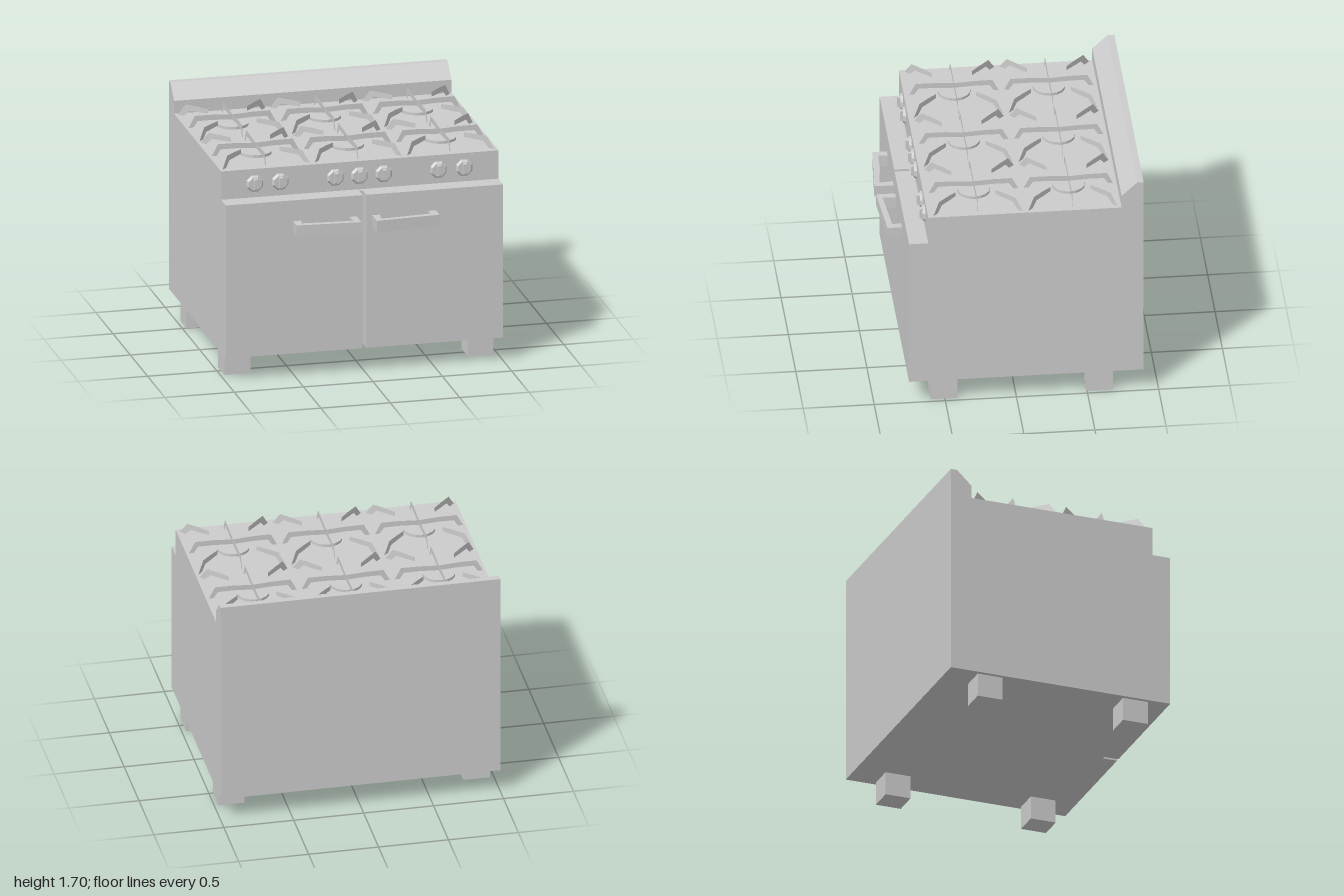
import * as THREE from 'three';

const mat = new THREE.MeshStandardMaterial({ color: 0xcccccc, flatShading: true });
const thinMat = new THREE.MeshStandardMaterial({ color: 0xcccccc, flatShading: true, side: THREE.DoubleSide });
const HOB = 1.503;

const toShape = (pts) => new THREE.Shape(pts.map(([a, b]) => new THREE.Vector2(a, b)));

function add(parent, name, geo, x = 0, y = 0, z = 0, material = mat) {
  const mesh = new THREE.Mesh(geo, material);
  mesh.name = name;
  mesh.position.set(x, y, z);
  parent.add(mesh);
  return mesh;
}

// Thin upright pan support: a full cross and four corner arms
function makeGrate() {
  const grate = new THREE.Group();
  grate.name = 'grate';
  const bar = new THREE.ShapeGeometry(toShape([
    [-0.315, 0], [-0.27, 0.085], [-0.14, 0.084], [0, 0.075], [0.14, 0.084], [0.27, 0.085], [0.315, 0],
    [0.28, 0], [0.25, 0.045], [0.14, 0.046], [0, 0.038], [-0.14, 0.046], [-0.25, 0.045], [-0.28, 0],
  ]));
  const arm = new THREE.ShapeGeometry(toShape([
    [0.315, 0], [0.27, 0.085], [0.2, 0.085], [0.14, 0.08], [0.14, 0.048], [0.2, 0.045], [0.25, 0.045], [0.28, 0],
  ].map(([r, y]) => [r * Math.SQRT2, y])));
  for (let i = 0; i < 2; i++) add(grate, 'crossBar', bar, 0, 0, 0, thinMat).rotation.y = i * Math.PI / 2;
  for (let i = 0; i < 4; i++) add(grate, 'cornerArm', arm, 0, 0, 0, thinMat).rotation.y = (i + 0.5) * Math.PI / 2;
  return grate;
}

// Octagonal dial with a raised grip
function makeKnob() {
  const knob = new THREE.Group();
  knob.name = 'knob';
  const dial = new THREE.CylinderGeometry(0.05, 0.064, 0.018, 8);
  dial.rotateY(Math.PI / 8).rotateX(Math.PI / 2);
  add(knob, 'dial', dial, 0, 0, 0.009);
  // Grip tapers towards its face
  const grip = new THREE.BoxGeometry(0.034, 0.1, 0.036);
  const p = grip.attributes.position;
  for (let i = 0; i < p.count; i++) {
    if (p.getZ(i) > 0) p.setXY(i, p.getX(i) * 0.75, p.getY(i) * 0.7);
  }
  add(knob, 'grip', grip, 0, 0, 0.018);
  return knob;
}

export function createModel() {
  const model = new THREE.Group();
  model.name = 'rangeCooker';

  // Body: side profile (z, y) swept across the width
  const body = new THREE.ExtrudeGeometry(toShape([
    [0.65, 0.17], [0.65, 1.295], [0.62, 1.295], [0.62, HOB], [-0.74, HOB], [-0.74, 1.597],
    [-0.848, 1.7], [-0.895, 1.7], [-0.895, 0.17],
  ]), { depth: 2, bevelEnabled: false });
  body.translate(0, 0, -1).rotateY(-Math.PI / 2);
  add(model, 'body', body);

  for (const s of [-1, 1]) {
    // Doors with a narrow gap between them
    add(model, 'door', new THREE.BoxGeometry(0.987, 1.125, 0.105), s * 0.5065, 0.7325, 0.7025);

    // Angled handles: plan outline (x, z) swept downwards
    const handle = new THREE.ExtrudeGeometry(toShape([
      [0.055, 0.755], [0.055, 0.89], [0.515, 0.857], [0.515, 0.755], [0.457, 0.755],
      [0.467, 0.818], [0.1, 0.848], [0.11, 0.755],
    ].map(([x, z]) => [s * x, z])), { depth: 0.085, bevelEnabled: false });
    handle.rotateX(Math.PI / 2);
    add(model, 'handle', handle, 0, 1.142, 0);

    // Feet
    for (const z of [0.505, -0.587]) {
      add(model, 'foot', new THREE.BoxGeometry(0.187, 0.17, 0.187), s * 0.877, 0.085, z);
    }
  }

  // Burners and pan supports
  for (const x of [-0.665, 0, 0.665]) {
    for (const z of [-0.4, 0.267]) {
      add(model, 'burner', new THREE.CylinderGeometry(0.115, 0.115, 0.02, 16), x, HOB + 0.01, z);
      const grate = makeGrate();
      grate.position.set(x, HOB, z);
      model.add(grate);
    }
  }

  // Control knobs
  for (const x of [-0.757, -0.573, -0.177, -0.003, 0.172, 0.567, 0.752]) {
    const knob = makeKnob();
    knob.position.set(x, 1.396, 0.62);
    model.add(knob);
  }
  return model;
}
